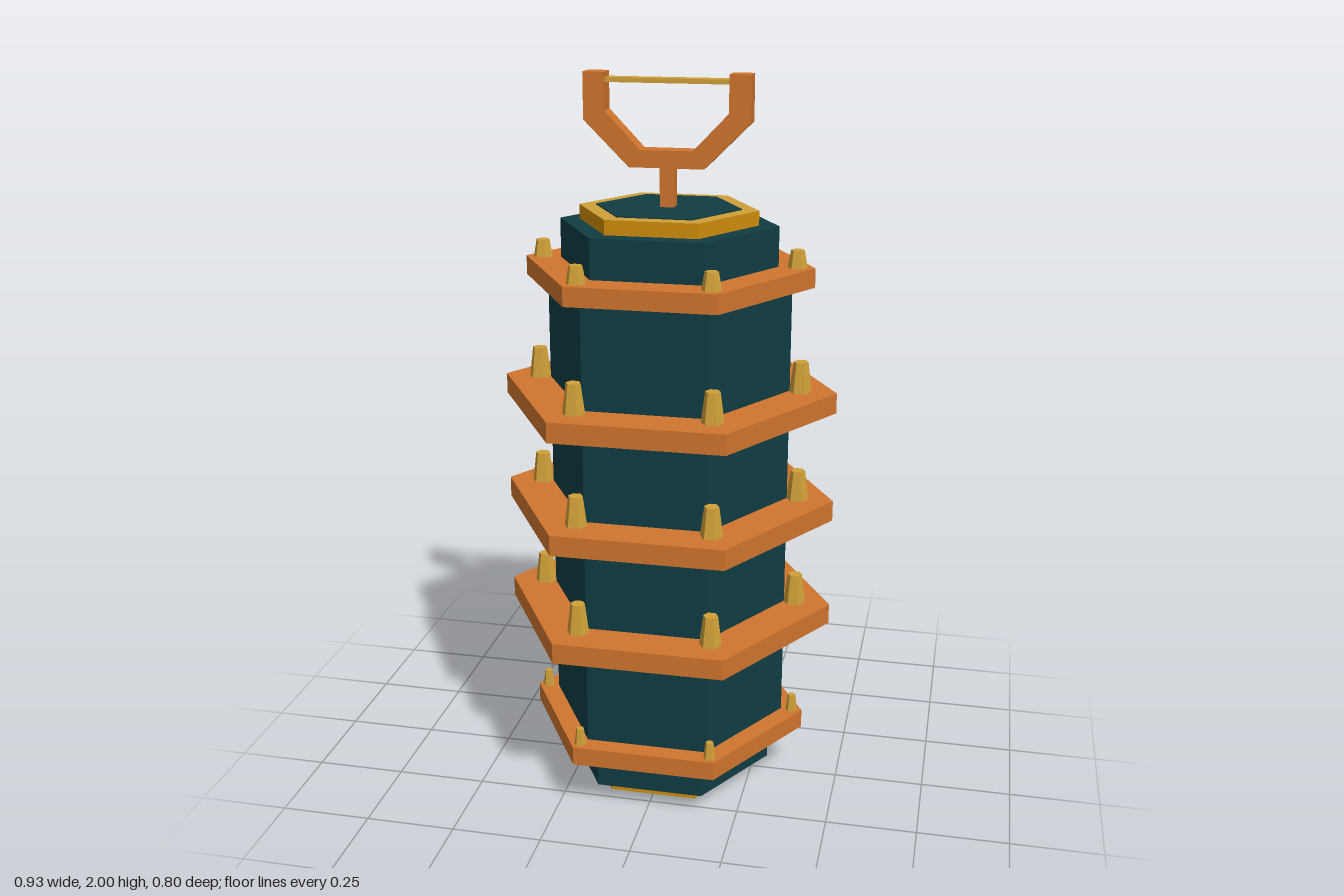
import * as THREE from 'three';

const mat = (name, color) => Object.assign(new THREE.MeshStandardMaterial({ color, flatShading: true }), { name });

export function createModel() {
  const teal = mat('dark teal', 0x103c44);
  const copper = mat('copper', 0xd0752e);
  const gold = mat('gold', 0xd0a038);
  const amber = mat('amber', 0xcf8c0b);

  const model = new THREE.Group();
  model.name = 'hexagonalCanister';

  const add = (name, geometry, material, parent = model) => {
    const mesh = new THREE.Mesh(geometry, material);
    mesh.name = name;
    parent.add(mesh);
    return mesh;
  };

  // Six-sided prism with corners on +x and -x, from y0 to y1
  const hex = (name, y0, y1, rBottom, material, rTop = rBottom, parent = model) => {
    const geometry = new THREE.CylinderGeometry(rTop, rBottom, y1 - y0, 6, 1, false, Math.PI / 2);
    geometry.translate(0, (y0 + y1) / 2, 0);
    return add(name, geometry, material, parent);
  };

  // Casing and its end caps
  hex('casing', 0.17, 1.48, 0.335, teal);
  hex('bottomCap', 0.04, 0.18, 0.297, teal);
  hex('topCap', 1.47, 1.613, 0.297, teal);
  hex('bottomPlate', 0, 0.04, 0.243, [amber, gold, gold]);
  hex('topPlate', 1.613, 1.652, 0.243, [amber, gold, gold]);
  hex('topInset', 1.648, 1.655, 0.197, teal);

  // Flanges, each with a ring of six tapered studs
  const flanges = [
    // y0, y1, radius, stud ring radius, stud top, stud base radius, stud top radius
    [0.149, 0.202, 0.395, 0.365, 0.25, 0.017, 0.011],
    [0.488, 0.545, 0.463, 0.364, 0.63, 0.031, 0.02],
    [0.8, 0.857, 0.463, 0.364, 0.94, 0.031, 0.02],
    [1.111, 1.167, 0.463, 0.364, 1.25, 0.031, 0.02],
    [1.454, 1.506, 0.395, 0.347, 1.553, 0.027, 0.018],
  ];
  flanges.forEach(([y0, y1, radius, ring, studTop, studBase, studTip], i) => {
    const group = new THREE.Group();
    group.name = `flange${i + 1}`;
    model.add(group);
    hex('flangePlate', y0, y1, radius, copper, radius, group);
    for (let k = 0; k < 6; k++) {
      const angle = (k * Math.PI) / 3;
      const stud = hex('stud', y1 - 0.002, studTop, studBase, gold, studTip, group);
      stud.position.set(ring * Math.cos(angle), 0, ring * Math.sin(angle));
    }
  });

  // Forked handle on a square stem, with a flat grip bar
  const handle = new THREE.Group();
  handle.name = 'handle';
  model.add(handle);
  add('stem', new THREE.BoxGeometry(0.038, 0.13, 0.038).translate(0, 1.71, 0), copper, handle);

  const rightHalf = [[0.1, 1.758], [0.221, 1.878], [0.221, 2], [0.164, 2], [0.164, 1.902], [0.07, 1.804]];
  const leftHalf = rightHalf.map(([x, y]) => [-x, y]).reverse();
  const outline = [...rightHalf, ...leftHalf].map(([x, y]) => new THREE.Vector2(x, y));
  const fork = new THREE.ExtrudeGeometry(new THREE.Shape(outline), { depth: 0.056, bevelEnabled: false });
  add('fork', fork.translate(0, 0, -0.028), copper, handle);
  add('gripBar', new THREE.BoxGeometry(0.34, 0.012, 0.042).translate(0, 1.98, 0), gold, handle);

  return model;
}
